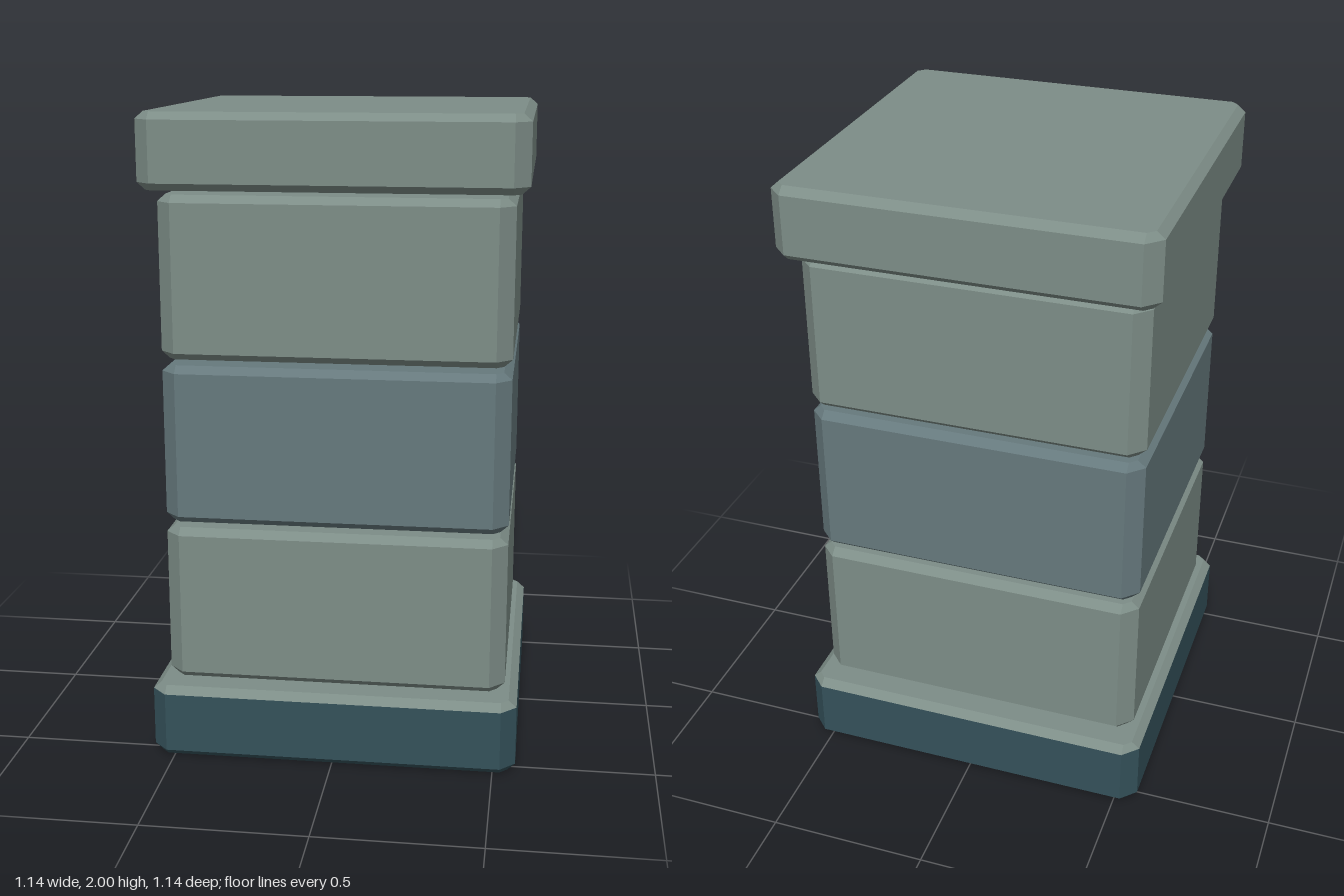
import * as THREE from 'three';

const CORNER = 0.047, BEVEL = 0.025, RISE = 0.022;
const material = (color) => new THREE.MeshStandardMaterial({ color, flatShading: true });

// Eight-cornered outline with half sizes w and d, drawn in by inset.
function outline(w, d, y, inset) {
  const quarter = [[w - inset, d - CORNER], [w - CORNER, d - inset]];
  const points = [];
  for (const [sx, sz] of [[1, 1], [-1, 1], [-1, -1], [1, -1]]) {
    const pair = sx * sz > 0 ? quarter : [...quarter].reverse();
    for (const [x, z] of pair) points.push(new THREE.Vector3(sx * x, y, sz * z));
  }
  return points;
}

// Joins stacked outlines (bottom to top), closing the ends on request.
function stack(rings, capBottom, capTop) {
  const n = rings[0].length;
  const index = [];
  for (let r = 0; r < rings.length - 1; r++) {
    for (let i = 0; i < n; i++) {
      const a = r * n + i, b = r * n + (i + 1) % n;
      index.push(a, a + n, b, b, a + n, b + n);
    }
  }
  const top = (rings.length - 1) * n;
  for (let i = 1; i < n - 1; i++) {
    if (capBottom) index.push(0, i, i + 1);
    if (capTop) index.push(top, top + i + 1, top + i);
  }
  const geometry = new THREE.BufferGeometry().setFromPoints(rings.flat());
  geometry.setIndex(index);
  const flat = geometry.toNonIndexed();
  flat.computeVertexNormals();
  return flat;
}

export function createModel() {
  const group = new THREE.Group();
  const stone = material(0x7d8d87);
  const slate = material(0x66797d);
  const dark = material(0x34515a);

  function add(name, geometry, mat) {
    const mesh = new THREE.Mesh(geometry, mat);
    mesh.name = name;
    group.add(mesh);
  }

  // Bevelled slab as four outlines from y0 to y1.
  const slabRings = (w, d, y0, y1) => [
    outline(w, d, y0, BEVEL),
    outline(w, d, y0 + RISE, 0),
    outline(w, d, y1 - RISE, 0),
    outline(w, d, y1, BEVEL),
  ];

  // Plinth: dark body with a pale bevelled top
  const plinth = slabRings(0.57, 0.57, 0, 0.232);
  add('plinth', stack(plinth.slice(0, 3), true, false), dark);
  add('plinthTop', stack(plinth.slice(2), false, true), stone);

  // Three blocks of the shaft, the middle one darker
  const blocks = [['lowerBlock', stone], ['middleBlock', slate], ['upperBlock', stone]];
  blocks.forEach(([name, mat], i) => {
    const y = 0.235 + i * 0.513;
    add(name, stack(slabRings(0.53, 0.495, y, y + 0.495), true, true), mat);
  });

  // Capstone
  add('capstone', stack(slabRings(0.57, 0.57, 1.775, 2), true, true), stone);

  return group;
}
